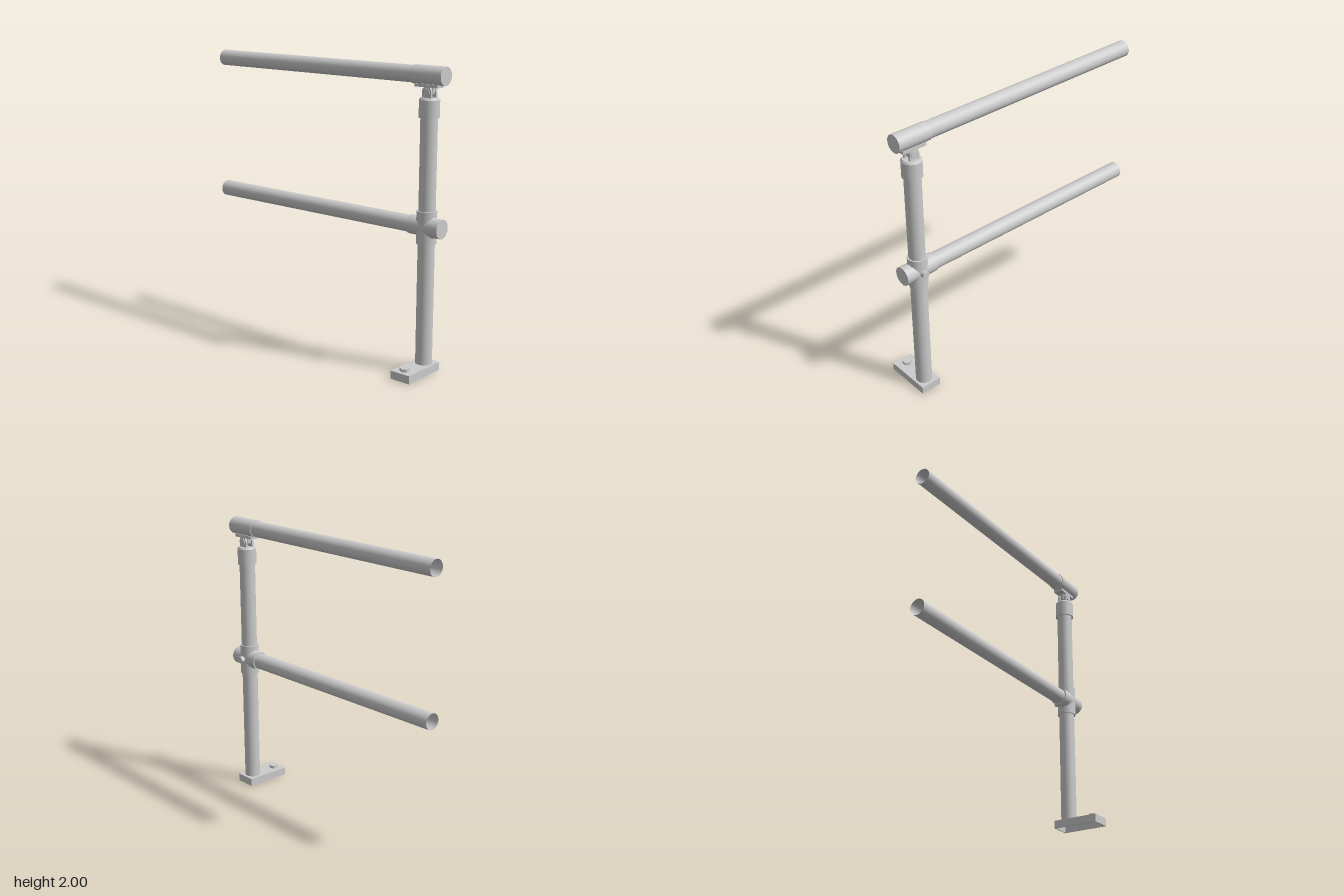
import * as THREE from 'three';

const PX = 0.08, PZ = 0.848; // post axis
const grey = new THREE.MeshStandardMaterial({ color: 0xcccccc });
const greyThin = new THREE.MeshStandardMaterial({ color: 0xcccccc, side: THREE.DoubleSide });
const greyFlat = new THREE.MeshStandardMaterial({ color: 0xcccccc, flatShading: true });

export function createModel() {
  const model = new THREE.Group();
  model.name = 'railing';

  function add(name, geometry, x, y, z, material = grey) {
    const mesh = new THREE.Mesh(geometry, material);
    mesh.name = name;
    mesh.position.set(x, y, z);
    model.add(mesh);
    return mesh;
  }
  // Cylinder along an axis, centred on the given point
  function rod(name, axis, r, length, x, y, z, { sides = 40, open = false, material } = {}) {
    const g = new THREE.CylinderGeometry(r, r, length, sides, 1, open);
    if (axis === 'z') g.rotateX(Math.PI / 2);
    if (axis === 'x') g.rotateZ(Math.PI / 2);
    return add(name, g, x, y, z, material ?? (open ? greyThin : grey));
  }
  // Surface of revolution around the post, points are [radius, height]
  function turned(name, points, x, y, z) {
    const g = new THREE.LatheGeometry(points.map(p => new THREE.Vector2(...p)), 40);
    return add(name, g, x, y, z, greyThin);
  }
  // Plate in the y-z plane with a rounded end, facing up or down
  function lug(name, x, y, r, tail, thickness, up) {
    const s = new THREE.Shape();
    s.moveTo(-r, -tail);
    s.lineTo(r, -tail);
    s.lineTo(r, 0);
    s.absarc(0, 0, r, 0, Math.PI, false);
    s.lineTo(-r, -tail);
    const g = new THREE.ExtrudeGeometry(s, { depth: thickness, bevelEnabled: false, curveSegments: 16 });
    g.translate(0, 0, -thickness / 2).rotateY(Math.PI / 2);
    if (!up) g.rotateX(Math.PI);
    add(name, g, x, y, PZ);
  }

  // Hollow base plate: rim walls plus a top skin
  const bw = 0.33, bd = 0.148, bh = 0.055, wall = 0.008, bx = -0.01, bz = 0.845;
  add('baseTop', new THREE.BoxGeometry(bw, wall, bd), bx, bh - wall / 2, bz);
  for (const s of [-1, 1]) {
    add('baseSideWall', new THREE.BoxGeometry(bw, bh - wall, wall), bx, (bh - wall) / 2, bz + s * (bd - wall) / 2);
    add('baseEndWall', new THREE.BoxGeometry(wall, bh - wall, bd - 2 * wall), bx + s * (bw - wall) / 2, (bh - wall) / 2, bz);
  }
  rod('baseBoltHead', 'y', 0.033, 0.02, -0.118, 0.065, 0.842, { sides: 6, material: greyFlat })
    .rotation.y = Math.PI / 6;
  rod('baseBoltShank', 'y', 0.02, 0.03, -0.118, 0.042, 0.842, { sides: 24 });

  // Upright post
  rod('post', 'y', 0.055, 1.69, PX, 0.9, PZ, { open: true });

  // Collar on top of the post, with a chamfered rim
  turned('postCollarSide', [[0.055, 0], [0.066, 0]], PX, 1.675, PZ);
  turned('postCollarWall', [[0.066, 0], [0.066, 0.113]], PX, 1.675, PZ);
  turned('postCollarChamfer', [[0.066, 0.113], [0.057, 0.126]], PX, 1.675, PZ);
  turned('postCollarTop', [[0.057, 0.126], [0, 0.126]], PX, 1.675, PZ);

  // Swivel joint: a fork below, a tongue above and a pin through both
  for (const s of [-1, 1]) lug('swivelFork', PX + s * 0.027, 1.838, 0.035, 0.042, 0.016, true);
  lug('swivelTongue', PX, 1.838, 0.032, 0.046, 0.026, false);
  rod('swivelPin', 'x', 0.024, 0.082, PX, 1.838, PZ, { sides: 24 });
  add('swivelSaddle', new THREE.BoxGeometry(0.07, 0.02, 0.175), PX, 1.876, 0.843);

  // Top rail with its end sleeve
  rod('topRail', 'z', 0.055, 1.85, PX, 1.94, -0.04, { open: true });
  rod('topSleeve', 'z', 0.06, 0.24, PX, 1.94, 0.849, { open: true });
  add('topSleeveCap', new THREE.CircleGeometry(0.06, 40), PX, 1.94, 0.969, greyThin);
  add('topSleeveLip', new THREE.RingGeometry(0.054, 0.06, 40), PX, 1.94, 0.729, greyThin);

  // Middle rail and the cross fitting that joins it to the post
  const my = 0.976, mx = 0.077;
  rod('middleRail', 'z', 0.055, 1.85, mx, my, -0.04, { open: true });
  rod('crossSleeve', 'z', 0.063, 0.24, mx, my, 0.849, { open: true });
  add('crossSleeveCap', new THREE.CircleGeometry(0.063, 40), mx, my, 0.969, greyThin);
  add('crossSleeveLip', new THREE.RingGeometry(0.054, 0.063, 40), mx, my, 0.729, greyThin);
  rod('crossCollar', 'y', 0.065, 0.216, PX, 0.972, PZ, { open: true });
  for (const y of [0.864, 1.08]) {
    const lip = add('crossCollarLip', new THREE.RingGeometry(0.054, 0.065, 40), PX, y, PZ, greyThin);
    lip.rotation.x = Math.PI / 2;
  }
  add('crossBody', new THREE.SphereGeometry(1, 32, 20), PX - 0.002, my, PZ).scale.set(0.064, 0.094, 0.094);
  rod('crossSetScrew', 'x', 0.024, 0.06, 0.141, my, PZ, { sides: 24 });

  return model;
}
